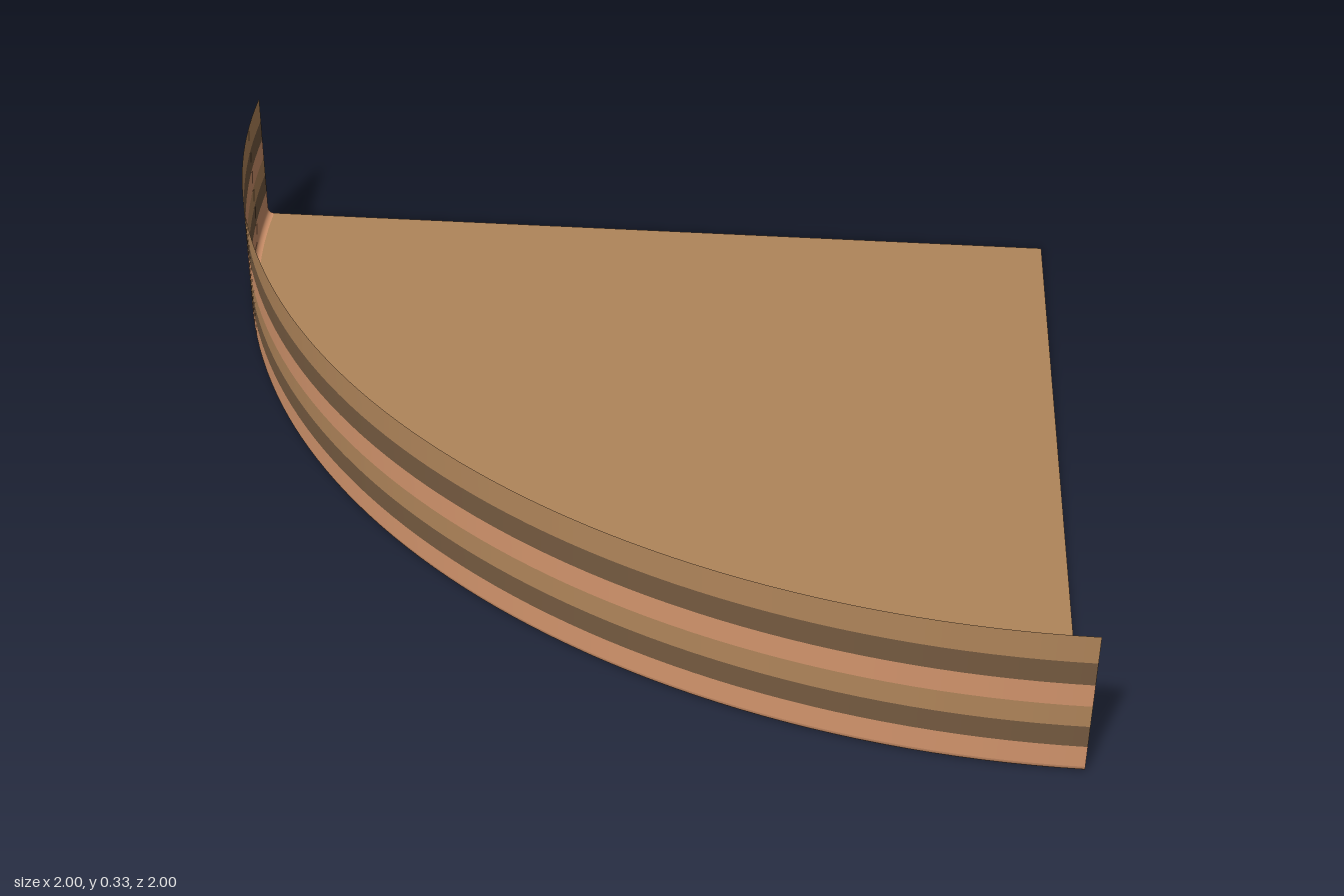
import * as THREE from 'three';

const RADIUS = 2, FILLET = 0.015, SEGMENTS = 64;
const TAN = 0xb0855a, DARK = 0x755a40, ORANGE = 0xd2946c;

export function createModel() {
  const group = new THREE.Group();
  group.name = 'quarterRoundTray';

  const add = (name, geometry, color) => {
    const material = new THREE.MeshStandardMaterial({ color, side: THREE.DoubleSide });
    const mesh = new THREE.Mesh(geometry, material);
    mesh.name = name;
    mesh.position.set(1, 0, -1); // centre of the quarter circle
    group.add(mesh);
  };
  // Quarter turn of a profile, from the left end round to the front
  const sweep = (points) =>
    new THREE.LatheGeometry(points, SEGMENTS, Math.PI * 1.5, Math.PI / 2);

  // Flat quarter-disc floor
  const floor = new THREE.CircleGeometry(RADIUS - FILLET, SEGMENTS, Math.PI, Math.PI / 2);
  floor.rotateX(-Math.PI / 2);
  add('floor', floor, TAN);

  // Small rounded joint between floor and wall
  const joint = [];
  for (let i = 0; i <= 5; i++) {
    const a = (i / 5) * Math.PI / 2;
    joint.push(new THREE.Vector2(RADIUS - FILLET + FILLET * Math.sin(a), FILLET - FILLET * Math.cos(a)));
  }
  add('roundedJoint', sweep(joint), ORANGE);

  // Thin curved wall in coloured bands, bottom to top
  const heights = [FILLET, 0.065, 0.115, 0.165, 0.217, 0.27, 0.333];
  const colors = [ORANGE, DARK, TAN];
  for (let i = 0; i < heights.length - 1; i++) {
    const band = [heights[i], heights[i + 1]].map((y) => new THREE.Vector2(RADIUS, y));
    add('wallBand' + (i + 1), sweep(band), colors[i % 3]);
  }
  return group;
}
